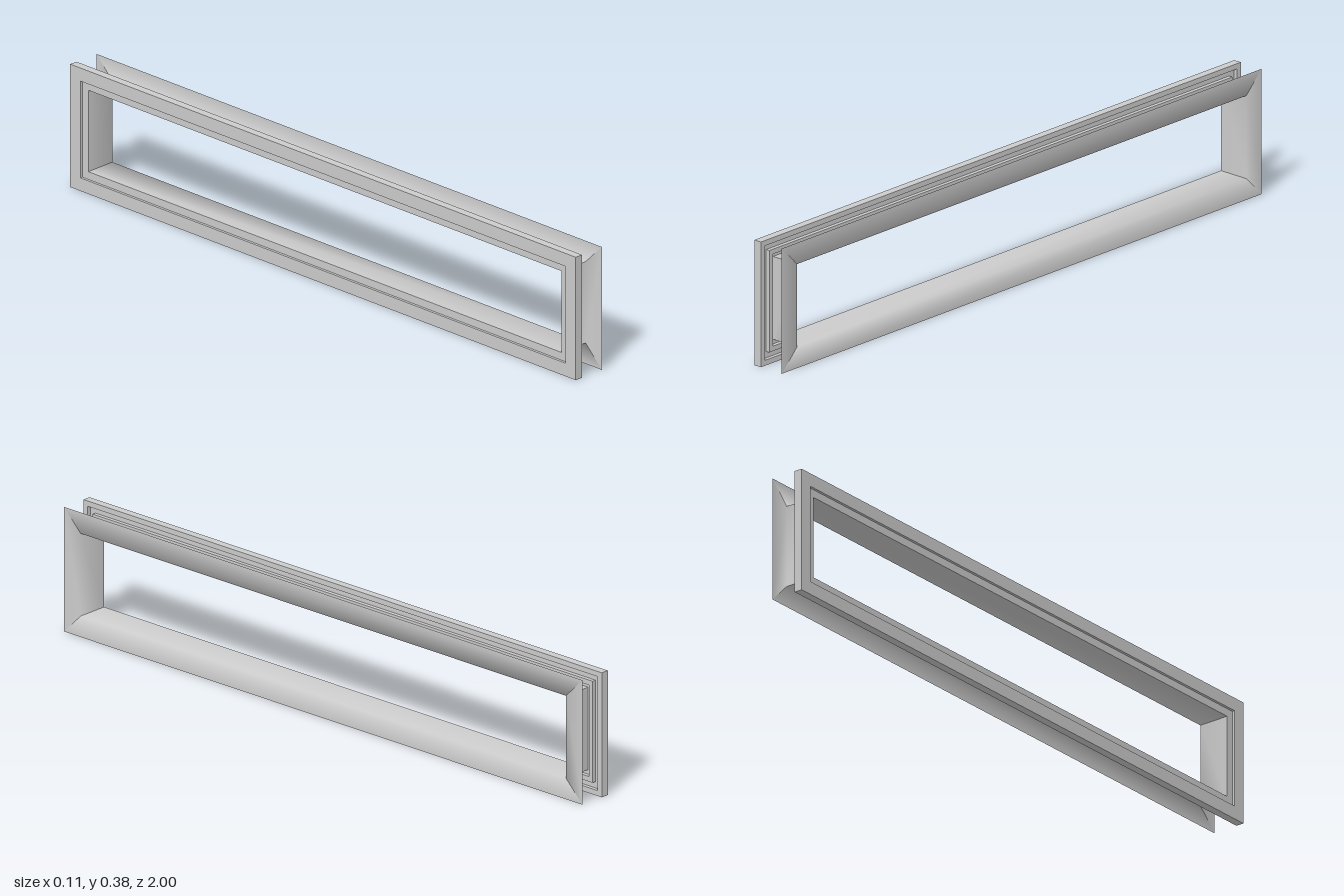
import * as THREE from 'three';

const HEIGHT = 0.377, HALF = 1;

// Corner k of the rectangle, moved inwards by inset, at depth x
function corner(k, [inset, x]) {
  const z = [1, -1, -1, 1][k % 4] * (HALF - inset);
  const y = [inset, inset, HEIGHT - inset, HEIGHT - inset][k % 4];
  return [x, y, z];
}

// One mitred side: a profile of [inset, x] points run from corner k to the next
function sideGeometry(profile, k, flat) {
  const points = [], index = [];
  profile.forEach((p, i) => {
    points.push(...corner(k, p), ...corner(k + 1, p));
    if (i) {
      const a = 2 * i - 2;
      index.push(a, a + 1, a + 3, a, a + 3, a + 2);
    }
  });
  let geometry = new THREE.BufferGeometry();
  geometry.setAttribute('position', new THREE.Float32BufferAttribute(points, 3));
  geometry.setIndex(index);
  if (flat) geometry = geometry.toNonIndexed();
  geometry.computeVertexNormals();
  return geometry;
}

function mitredFrame(name, profile, flat, material) {
  const group = new THREE.Group();
  group.name = name;
  ['Bottom', 'Back', 'Top', 'Front'].forEach((side, k) => {
    const mesh = new THREE.Mesh(sideGeometry(profile, k, flat), material);
    mesh.name = name + side;
    group.add(mesh);
  });
  return group;
}

export function createModel() {
  const model = new THREE.Group();
  model.name = 'windowFrame';
  const grey = new THREE.MeshStandardMaterial({ color: 0xcccccc });
  const sheet = new THREE.MeshStandardMaterial({ color: 0xcccccc, side: THREE.DoubleSide });

  // Mounting frame: outer rim, groove, raised lip and a rebate at the back
  model.add(mitredFrame('mountingFrame', [
    [0, -0.028], [0.016, -0.028], [0.016, -0.04], [0.035, -0.04],
    [0.035, -0.028], [0.05, -0.028], [0.05, -0.04], [0.0637, -0.04],
    [0.0637, -0.045], [0.04, -0.045], [0.04, -0.053], [0, -0.053], [0, -0.028],
  ], true, grey));

  // Thin trim: flat flange folded into the wall of the opening, softly shaded
  model.add(mitredFrame('trim', [
    [0, 0.052], [0.0637, 0.052], [0.0637, -0.04],
  ], false, sheet));

  return model;
}
